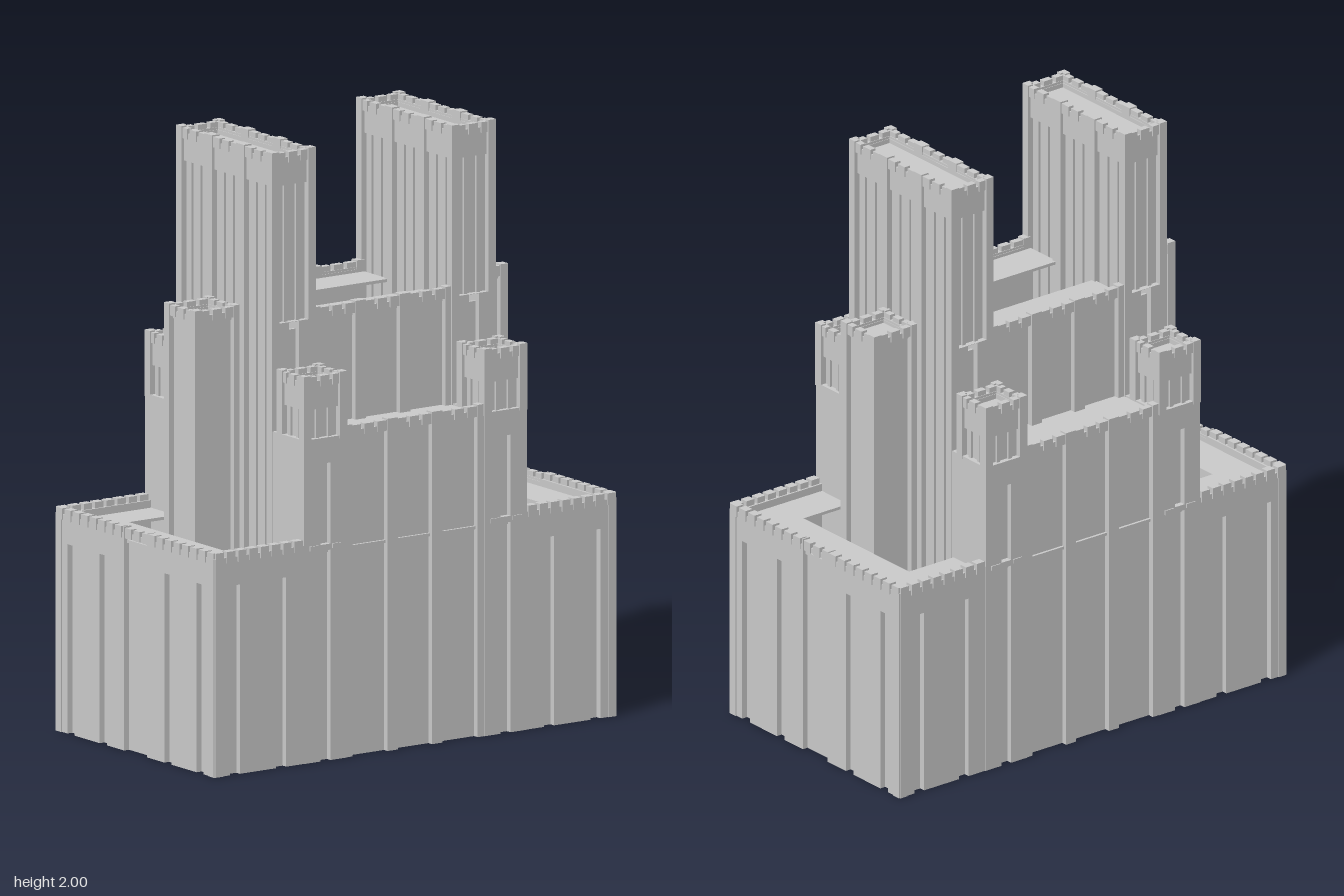
import * as THREE from 'three';
import { mergeGeometries } from 'three/addons/utils/BufferGeometryUtils.js';

const material = new THREE.MeshStandardMaterial({ color: 0xcccccc, flatShading: true, side: THREE.DoubleSide });

// box given by its limits
function slab(x0, x1, y0, y1, z0, z1) {
  return new THREE.BoxGeometry(x1 - x0, y1 - y0, z1 - z0)
    .translate((x0 + x1) / 2, (y0 + y1) / 2, (z0 + z1) / 2);
}

function addMesh(parent, name, parts) {
  const mesh = new THREE.Mesh(mergeGeometries(parts), material);
  mesh.name = name;
  parent.add(mesh);
  return mesh;
}

// three merlons across a bay, with optional frieze and mullions below
function crenelBay(parts, a, b, y0, y1, ornate) {
  const gap = 0.014, w = (b - a - 2 * gap) / 3;
  parts.push(slab(a, b, y1 - 0.04, y1 - 0.022, -0.028, -0.008));
  for (let i = 0; i < 3; i++) {
    const x = a + i * (w + gap);
    parts.push(slab(x, x + w, y1 - 0.04, y1 - 0.005, -0.026, -0.004));
  }
  if (!ornate) return;
  parts.push(slab(a, b, y1 - 0.115, y1 - 0.04, -0.026, -0.011));
  for (let i = 0; i < 2; i++) {
    const x = a + w + i * (w + gap);
    parts.push(slab(x, x + gap, y0, y1 - 0.115, -0.024, -0.012));
  }
}

// Wall facing +z before turning. A bay is { a, b } with crenels to the top,
// or { a, b, slots: [[from, to], ...] } for blind slots closed above.
function wall(parent, name, o) {
  const { len, y0, y1, bays = [], x = 0, z = 0, turn = 0, ornate = false, merlons = 0 } = o;
  const h = len / 2, top = merlons ? y1 - 0.02 : y1;
  const parts = [slab(-h, h, y0, y1 - 0.03, -0.03, -0.02)];
  let edge = -h;
  for (const bay of [...bays].sort((p, q) => p.a - q.a)) {
    parts.push(slab(edge, bay.a, y0, top, -0.03, 0));
    edge = bay.b;
    if (!bay.slots) { crenelBay(parts, bay.a, bay.b, y0, y1, ornate); continue; }
    let y = y0;
    for (const [from, to] of bay.slots) {
      if (from > y) parts.push(slab(bay.a, bay.b, y, from, -0.03, 0));
      y = to;
    }
    parts.push(slab(bay.a, bay.b, y, top, -0.03, 0));
  }
  parts.push(slab(edge, h, y0, top, -0.03, 0));
  // free-standing merlons along a plain wall head
  const step = len / (merlons || 1);
  for (let i = 0; i < merlons; i++) {
    const m = -h + i * step;
    parts.push(slab(m + 0.006, m + step - 0.006, y1 - 0.038, y1, -0.024, 0.004));
  }
  const mesh = addMesh(parent, name, parts);
  mesh.position.set(x, 0, z);
  mesh.rotation.y = turn;
}

// four walls and a sunken roof
function block(parent, name, o) {
  const { cx, cz, w, d, y0, y1, roof, bx = [], bz = [], ornate, sideFoot = y0, frontFoot = y0 } = o;
  const g = new THREE.Group();
  g.name = name;
  g.position.set(cx, 0, cz);
  for (const s of [1, -1]) {
    wall(g, 'frontOrBackWall', { len: w, y0: frontFoot, y1, bays: bx, z: s * d / 2, turn: s > 0 ? 0 : Math.PI, ornate });
    wall(g, 'sideWall', { len: d, y0: sideFoot, y1, bays: bz, x: s * w / 2, turn: s * Math.PI / 2, ornate });
  }
  addMesh(g, 'roof', [slab(-w / 2 + 0.015, w / 2 - 0.015, roof - 0.01, roof, -d / 2 + 0.015, d / 2 - 0.015)]);
  parent.add(g);
}

const tripleBays = [{ a: -0.25, b: -0.11 }, { a: -0.068, b: 0.068 }, { a: 0.11, b: 0.25 }];
const slot = (c, w, ...slots) => ({ a: c - w / 2, b: c + w / 2, slots });

export function createModel() {
  const model = new THREE.Group();
  model.name = 'castle';

  // base terrace: ring roof around an open court
  const ring = new THREE.Shape([[-0.79, -0.43], [0.79, -0.43], [0.79, 0.43], [-0.79, 0.43]].map(p => new THREE.Vector2(...p)));
  ring.holes.push(new THREE.Path([[-0.63, -0.275], [-0.63, 0.275], [0.63, 0.275], [0.63, -0.275]].map(p => new THREE.Vector2(...p))));
  addMesh(model, 'baseRoof', [new THREE.ExtrudeGeometry(ring, { depth: 0.01, bevelEnabled: false })
    .rotateX(-Math.PI / 2).translate(0, 0.69, 0)]);

  for (const s of [1, -1]) {
    const turn = s > 0 ? 0 : Math.PI;

    // base end walls: two slotted stretches and a crenellated centre
    for (const t of [1, -1]) {
      wall(model, 'baseEndWall', {
        len: 0.376, y0: 0, y1: 0.745, x: s * 0.801, z: t * 0.257, turn: s * Math.PI / 2, merlons: 8,
        bays: [slot(0.103, 0.04, [0, 0.63]), slot(-0.077, 0.04, [0, 0.63])].map(b =>
          s * t < 0 ? b : { a: -b.b, b: -b.a, slots: b.slots }),
      });
      // base front and back walls beside the turrets
      wall(model, 'baseLongWall', {
        len: 0.36, y0: 0, y1: 0.745, x: t * 0.625, z: s * 0.441, turn, merlons: 8,
        bays: [slot(0.095, 0.04, [0, 0.63]), slot(-0.09, 0.04, [0, 0.63])].map(b =>
          s * t > 0 ? b : { a: -b.b, b: -b.a, slots: b.slots }),
      });
    }
    wall(model, 'baseEndCentre', {
      len: 0.138, y0: 0, y1: 0.745, x: s * 0.801, turn: s * Math.PI / 2, bays: [{ a: -0.064, b: 0.064 }],
    });

    // low and middle centre walls with their roofs
    wall(model, 'lowCentreWall', { len: 0.56, y0: 0, y1: 1.105, z: s * 0.441, turn, bays: tripleBays });
    wall(model, 'middleCentreWall', { len: 0.56, y0: 0.9, y1: 1.465, z: s * 0.262, turn, bays: tripleBays });
    addMesh(model, 'lowRoof', [slab(-0.28, 0.28, 1.06, 1.07, s > 0 ? 0.24 : -0.425, s > 0 ? 0.425 : -0.24)]);
    addMesh(model, 'middleRoof', [slab(-0.28, 0.28, 1.415, 1.425, s > 0 ? 0.095 : -0.245, s > 0 ? 0.245 : -0.095)]);

    // tall towers: crown bays end higher on the narrow faces
    const tall = { cx: s * 0.36, cz: 0, w: 0.175, d: 0.535 };
    block(model, 'tallTower', {
      ...tall, y0: 0.4, y1: 2, roof: 1.955, ornate: true, frontFoot: 1.43,
      bx: [{ a: -0.067, b: 0.067 }], bz: tripleBays,
    });
    for (const t of [1, -1]) {
      wall(model, 'tallTowerShaft', {
        len: 0.175, y0: 0.4, y1: 1.43, x: tall.cx, z: t * 0.2675, turn: t > 0 ? 0 : Math.PI,
        bays: [slot(0, 0.04, [1.0, 1.429])],
      });
    }

    // end towers standing in the court
    block(model, 'endTower', {
      cx: s * 0.533, cz: 0, w: 0.185, d: 0.175, y0: 0.4, y1: 1.465, roof: 1.425,
      bx: [{ a: -0.068, b: 0.068 }], bz: [{ a: -0.064, b: 0.064 }],
    });

    // four corner turrets on front and back
    for (const t of [1, -1]) {
      const cx = t * 0.36;
      wall(model, 'turretShaftFace', {
        len: 0.17, y0: 0, y1: 1.075, x: cx, z: s * 0.443, turn,
        bays: [slot(0, 0.04, [0, 0.7], [0.72, 0.99])],
      });
      for (const e of [1, -1]) {
        wall(model, 'turretShaftSide', {
          len: 0.183, y0: 0.5, y1: 1.075, x: cx + e * 0.085, z: s * 0.3515, turn: e * Math.PI / 2,
        });
      }
      addMesh(model, 'turretLedge', [slab(cx - 0.084, cx + 0.084, 1.06, 1.074, s * 0.351 - 0.09, s * 0.351 + 0.09)]);
      // thin string course pieces flanking the slot
      addMesh(model, 'stringCourse', [-0.045, 0.045].map(o =>
        slab(cx + o - 0.018, cx + o + 0.018, 0.705, 0.72, s * 0.443 - 0.004, s * 0.443 + 0.004)));
      block(model, 'turretCrown', {
        cx, cz: s * 0.3675, w: 0.172, d: 0.155, y0: 1.065, y1: 1.287, roof: 1.24, ornate: true,
        bx: [{ a: -0.066, b: 0.066 }], bz: [{ a: -0.06, b: 0.06 }],
      });
    }
  }
  return model;
}
